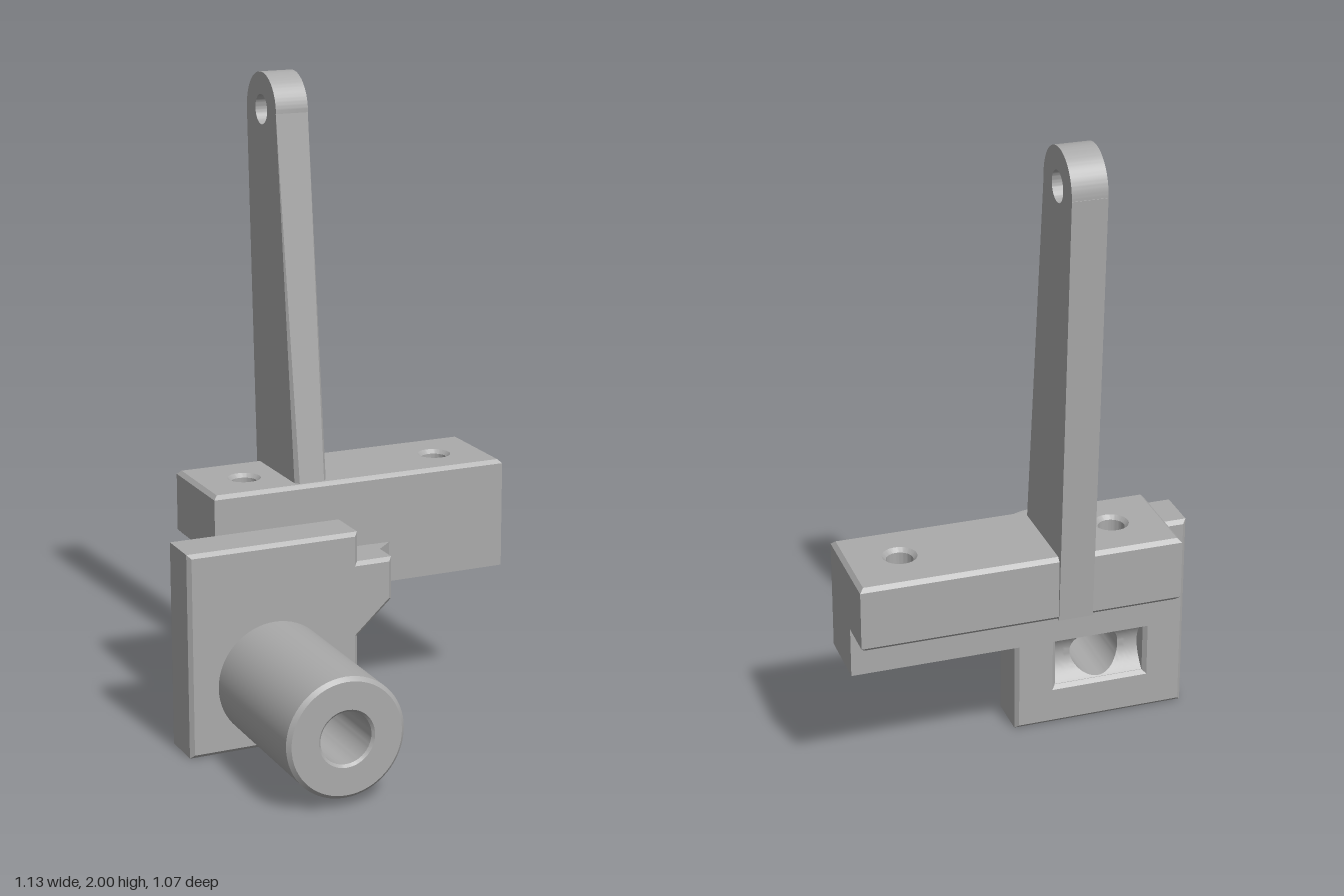
import * as THREE from 'three';
import { toCreasedNormals } from 'three/addons/utils/BufferGeometryUtils.js';
import { ConvexGeometry } from 'three/addons/geometries/ConvexGeometry.js';

const grey = new THREE.MeshStandardMaterial({ color: 0xaaaaaa });
grey.name = 'plain grey';

const polygon = (pts) => new THREE.Shape(pts.map(([x, y]) => new THREE.Vector2(x, y)));
const rect = (x0, y0, x1, y1) => polygon([[x0, y0], [x1, y0], [x1, y1], [x0, y1]]);
const circle = (x, y, r) => new THREE.Path().absarc(x, y, r, 0, Math.PI * 2);

// Extrudes a shape from lo to hi, chamfering inwards at both caps
function extrude(shape, lo, hi, chamfer = 0) {
  const g = new THREE.ExtrudeGeometry(shape, {
    depth: hi - lo - 2 * chamfer, curveSegments: 32,
    bevelEnabled: chamfer > 0, bevelThickness: chamfer, bevelSize: chamfer,
    bevelOffset: -chamfer, bevelSegments: 1,
  });
  return g.translate(0, 0, lo + chamfer);
}
// Shape drawn as (x, -z), extruded upwards
const extrudeUp = (...args) => extrude(...args).rotateX(-Math.PI / 2);

// Shared bore position and pocket size
const CX = -0.288, CY = 0.215, BORE = 0.08, HX = 0.157, HY = 0.095;
const BACK = -0.15, FRONT = 0.01, C = 0.012;
// Floor of the scooped pocket, by height from the bore centre
const pocketZ = (y) => Math.max(BACK + 0.001, BACK + 0.06 * (1 - (y / HY) ** 2));

export function createModel() {
  const group = new THREE.Group();
  const add = (name, geometry, crease = 0.5) => {
    const mesh = new THREE.Mesh(toCreasedNormals(geometry, crease), grey);
    mesh.name = name;
    group.add(mesh);
    return mesh;
  };

  // Mounting plate with side tab and pocket opening
  const plate = polygon([[-0.565, 0], [-0.01, 0], [-0.01, 0.31], [0.105, 0.415],
    [0.105, 0.55], [-0.01, 0.55], [-0.01, 0.645], [-0.565, 0.645]]);
  plate.holes.push(rect(CX - HX + C, CY - HY + C, CX + HX - C, CY + HY - C));
  add('mountingPlate', extrude(plate, BACK, FRONT, C));

  // Hollow boss, its bore running back to the pocket floor
  const boss = new THREE.LatheGeometry([[0.185, 0], [0.185, 0.523], [0.173, 0.535],
    [0.088, 0.535], [BORE, 0.527], [BORE, -1]].map(([r, h]) => new THREE.Vector2(r, h)), 64);
  boss.rotateX(Math.PI / 2);
  const bp = boss.attributes.position;
  for (let i = 0; i < bp.count; i++) if (bp.getZ(i) < -0.5) bp.setZ(i, pocketZ(bp.getY(i)));
  add('boss', boss).position.set(CX, CY, 0);

  // Scooped pocket floor: a ring stretched from the bore to a rectangle
  const pocket = new THREE.RingGeometry(1, 2, 64, 10).rotateY(Math.PI);
  const pp = pocket.attributes.position;
  for (let i = 0; i < pp.count; i++) {
    const len = Math.hypot(pp.getX(i), pp.getY(i));
    const c = pp.getX(i) / len, s = pp.getY(i) / len;
    const edge = 1.03 / Math.max(Math.abs(c) / HX, Math.abs(s) / HY);
    const r = BORE + (edge - BORE) * (len - 1);
    pp.setXYZ(i, c * r, s * r, pocketZ(s * r));
  }
  add('pocketFloor', pocket).position.set(CX, CY, 0);

  // Stepped crossbar with two vertical screw holes
  const drilled = (shape) => {
    for (const x of [-0.255, 0.4]) shape.holes.push(circle(x, 0.305, 0.04));
    return shape;
  };
  add('crossbarTop', extrudeUp(drilled(rect(-0.415, 0.15, 0.565, 0.47)), 0.56, 0.765, C));
  add('crossbarFoot', extrudeUp(drilled(rect(-0.415, 0.15, 0.565, 0.347)), 0.415, 0.74));

  // Gussets joining the plate to the crossbar
  add('sideGusset', extrudeUp(polygon([[0.09, 0.09], [0.105, 0.09], [0.18, 0.16], [0.09, 0.16]]), 0.415, 0.545));
  add('underGusset', new ConvexGeometry([
    [-0.4, 0.31, -0.145], [-0.01, 0.31, -0.145], [-0.4, 0.418, -0.13], [0.105, 0.418, -0.13],
    [-0.4, 0.418, -0.2], [0.105, 0.418, -0.2],
  ].map((p) => new THREE.Vector3(...p))), 0.1);

  // Tapered arm with rounded eye, drawn as (-z, y)
  const armL = -0.138, armR = -0.033;
  const arm = new THREE.Shape();
  arm.moveTo(0.2, 0.56);
  arm.lineTo(0.472, 0.56);
  arm.lineTo(0.533, 1.88);
  arm.absarc(0.418, 1.886, 0.114, -0.05, Math.PI - 0.04);
  arm.lineTo(0.316, 1.84);
  arm.lineTo(0.181, 0.75);
  arm.holes.push(circle(0.418, 1.886, 0.046));
  add('arm', extrude(arm, armL, armR).rotateY(Math.PI / 2));

  // Chamfered front edge of the arm
  const edgePts = [];
  for (const [x, inset] of [[armL, C], [armR, -C]]) {
    edgePts.push([x, 0.75, -0.181], [x, 1.84, -0.316], [x, 1.89, -0.306],
      [x + inset, 0.75, -0.167], [x + inset, 1.84, -0.301]);
  }
  add('armFrontEdge', new ConvexGeometry(edgePts.map((p) => new THREE.Vector3(...p))), 0.1);

  return group;
}
